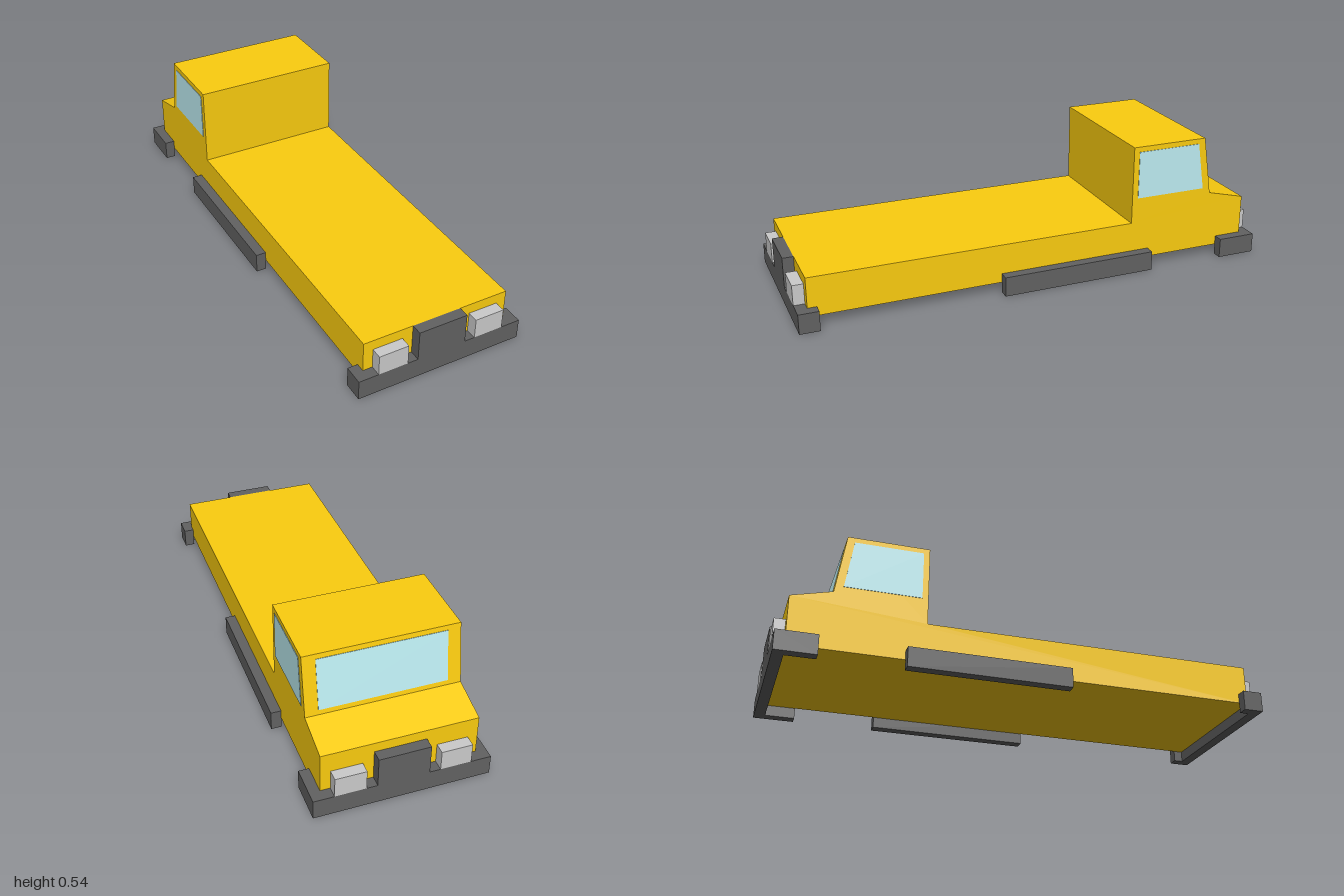
import * as THREE from 'three';

const paint = (color) => new THREE.MeshStandardMaterial({ color, flatShading: true });
const yellow = paint(0xfccd0f), dark = paint(0x626262), glass = paint(0xbeeef3), lamp = paint(0xcccccc);

const HALF = 0.31;   // half width of the body
const OUTER = 0.352; // half width over bumpers and skirts
const END = 0.955;   // half length of the body
const TRIM = 0.083;  // height of bumpers and skirts

function add(parent, name, geometry, material) {
  const mesh = new THREE.Mesh(geometry, material);
  mesh.name = name;
  parent.add(mesh);
  return mesh;
}

// Box given by its lower and upper limits on each axis
function box([x0, x1], [y0, y1], [z0, z1]) {
  return new THREE.BoxGeometry(x1 - x0, y1 - y0, z1 - z0)
    .translate((x0 + x1) / 2, (y0 + y1) / 2, (z0 + z1) / 2);
}

function extrude(points, depth) {
  const shape = new THREE.Shape(points.map(([a, b]) => new THREE.Vector2(a, b)));
  return new THREE.ExtrudeGeometry(shape, { depth, bevelEnabled: false });
}

// Side profile of (z, y) points, given thickness across x and centred on x = 0
function sideProfile(points, width) {
  return extrude(points, width).translate(0, 0, -width / 2).rotateY(-Math.PI / 2);
}

// Bumper with arms wrapping the body, a centre plate and two lamps
function makeBumper(name, armLength) {
  const group = new THREE.Group();
  group.name = name;
  const arm = 1 - armLength;
  const plan = [[-OUTER, -1], [OUTER, -1], [OUTER, -arm], [HALF, -arm],
    [HALF, -END], [-HALF, -END], [-HALF, -arm], [-OUTER, -arm]];
  add(group, 'bumperBar', extrude(plan, TRIM).rotateX(-Math.PI / 2), dark);
  add(group, 'centrePlate', box([-0.103, 0.103], [TRIM, 0.209], [END, 1]), dark);
  add(group, 'leftLamp', box([0.146, 0.27], [TRIM, 0.167], [END, 1]), lamp);
  add(group, 'rightLamp', box([-0.27, -0.146], [TRIM, 0.167], [END, 1]), lamp);
  return group;
}

export function createModel() {
  const model = new THREE.Group();
  model.name = 'flatbedTruck';

  // Flat bed, cab and bonnet in one profile; the cab is at the -z end
  add(model, 'body', sideProfile([
    [END, 0.045], [END, 0.209], [-0.418, 0.209], [-0.418, 0.542],
    [-0.75, 0.542], [-0.79, 0.292], [-END, 0.25], [-END, 0.045],
  ], HALF * 2), yellow);

  // Side windows and skirts
  for (const [side, s] of [['left', 1], ['right', -1]]) {
    const pane = sideProfile([[-0.443, 0.52], [-0.721, 0.52], [-0.753, 0.318], [-0.443, 0.318]], 0.004);
    add(model, side + 'Window', pane, glass).position.x = s * HALF;
    const skirt = box([-(OUTER - HALF) / 2, (OUTER - HALF) / 2], [0, TRIM], [-0.5, 0.165]);
    add(model, side + 'Skirt', skirt, dark).position.x = s * (HALF + OUTER) / 2;
  }

  // Windscreen laid on the sloping cab face
  const windscreen = add(model, 'windscreen', new THREE.BoxGeometry(0.514, 0.212, 0.004), glass);
  windscreen.position.set(0, 0.417, -0.77);
  windscreen.rotation.x = Math.atan2(0.04, 0.25);

  // Bumpers, the one at the cab end turned to face -z
  model.add(makeBumper('bedBumper', 0.082));
  const cabBumper = makeBumper('cabBumper', 0.165);
  cabBumper.rotation.y = Math.PI;
  model.add(cabBumper);

  return model;
}
